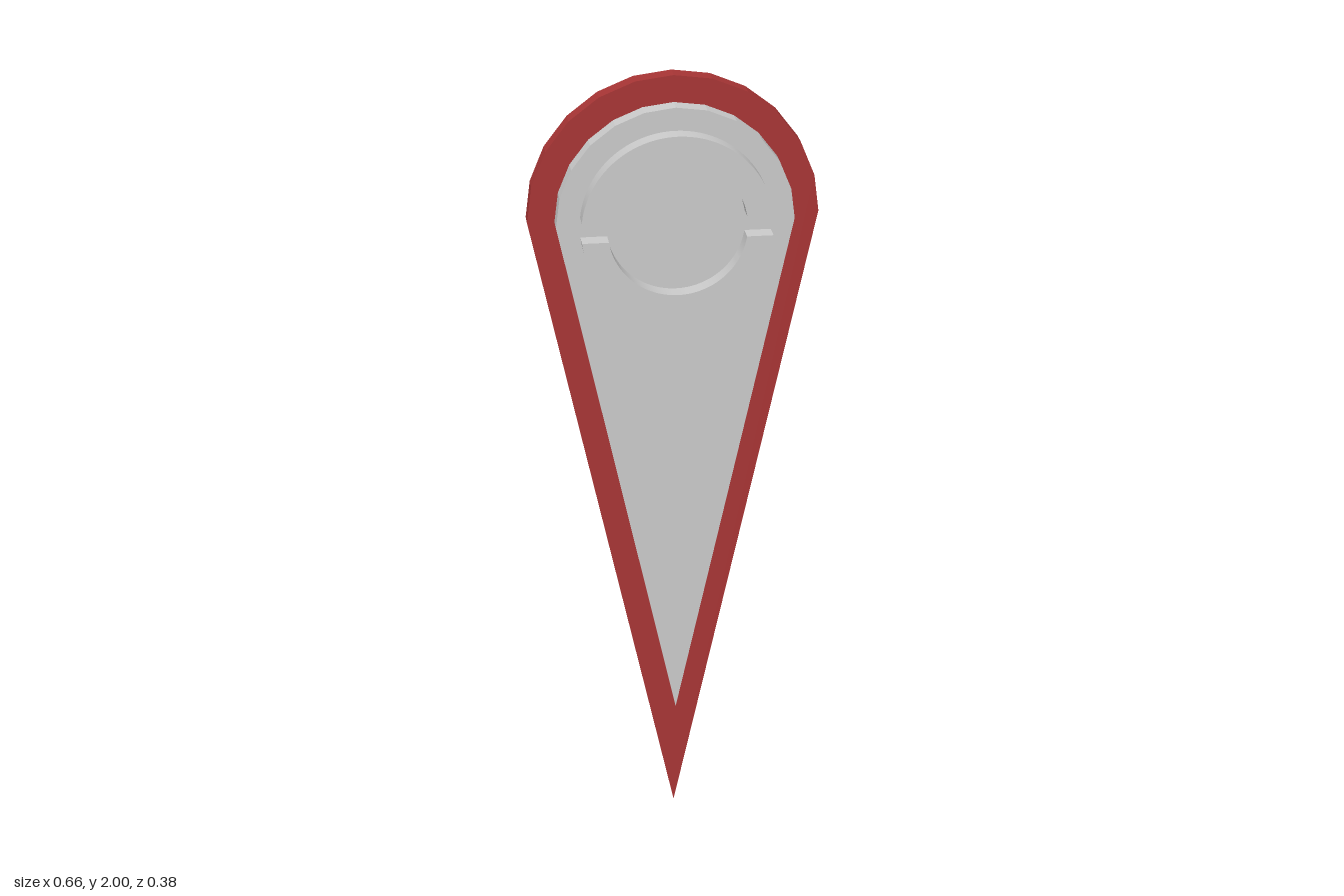
import * as THREE from 'three';
import { toCreasedNormals } from 'three/addons/utils/BufferGeometryUtils.js';

const CENTER_Y = 1.65;

// Teardrop: half circle in 12 facets on top, tapering to a point below
function teardrop(radius, tipY) {
  const points = [new THREE.Vector2(0, tipY)];
  for (let i = 0; i <= 12; i++) {
    const a = (i / 12) * Math.PI;
    points.push(new THREE.Vector2(radius * Math.cos(a), CENTER_Y + radius * Math.sin(a)));
  }
  return new THREE.Shape(points);
}

// Upper half of a ring, cut off level just above its middle
function halfRing(outer, inner, gap) {
  const a = Math.asin(gap / outer), b = Math.asin(gap / inner);
  const shape = new THREE.Shape();
  shape.absarc(0, 0, outer, a, Math.PI - a, false);
  shape.absarc(0, 0, inner, Math.PI - b, b, true);
  shape.closePath();
  return shape;
}

function plate(name, shape, z0, z1, color, smooth = false) {
  let geometry = new THREE.ExtrudeGeometry(shape, { depth: z1 - z0, bevelEnabled: false, curveSegments: 24 });
  geometry.translate(0, 0, z0);
  if (smooth) geometry = toCreasedNormals(geometry, Math.PI / 6);
  const mesh = new THREE.Mesh(geometry, new THREE.MeshStandardMaterial({ color, flatShading: !smooth }));
  mesh.name = name;
  return mesh;
}

export function createModel() {
  const model = new THREE.Group();
  model.name = 'teardropBadge';
  const body = new THREE.Group();
  body.name = 'body';
  body.rotation.y = THREE.MathUtils.degToRad(-24.2);
  model.add(body);

  // Stacked plates: rim in the middle, a smaller panel on each face
  body.add(plate('rimPlate', teardrop(0.35, 0), -0.022, 0.022, 0xa83535));
  body.add(plate('frontPanel', teardrop(0.285, 0.315), 0.022, 0.065, 0xcccccc));
  body.add(plate('backPanel', teardrop(0.285, 0.315), -0.065, -0.022, 0xcb6464));

  // Split ring on each panel
  const ring = halfRing(0.229, 0.166, 0.025);
  for (const [side, z0, z1, color] of [['front', 0.065, 0.108, 0xcccccc], ['back', -0.108, -0.065, 0xf4ebe0]]) {
    for (const half of ['Upper', 'Lower']) {
      const mesh = plate(`${side}${half}HalfRing`, ring, z0, z1, color, true);
      mesh.position.y = CENTER_Y;
      if (half === 'Lower') mesh.rotation.z = Math.PI;
      body.add(mesh);
    }
  }
  return model;
}
